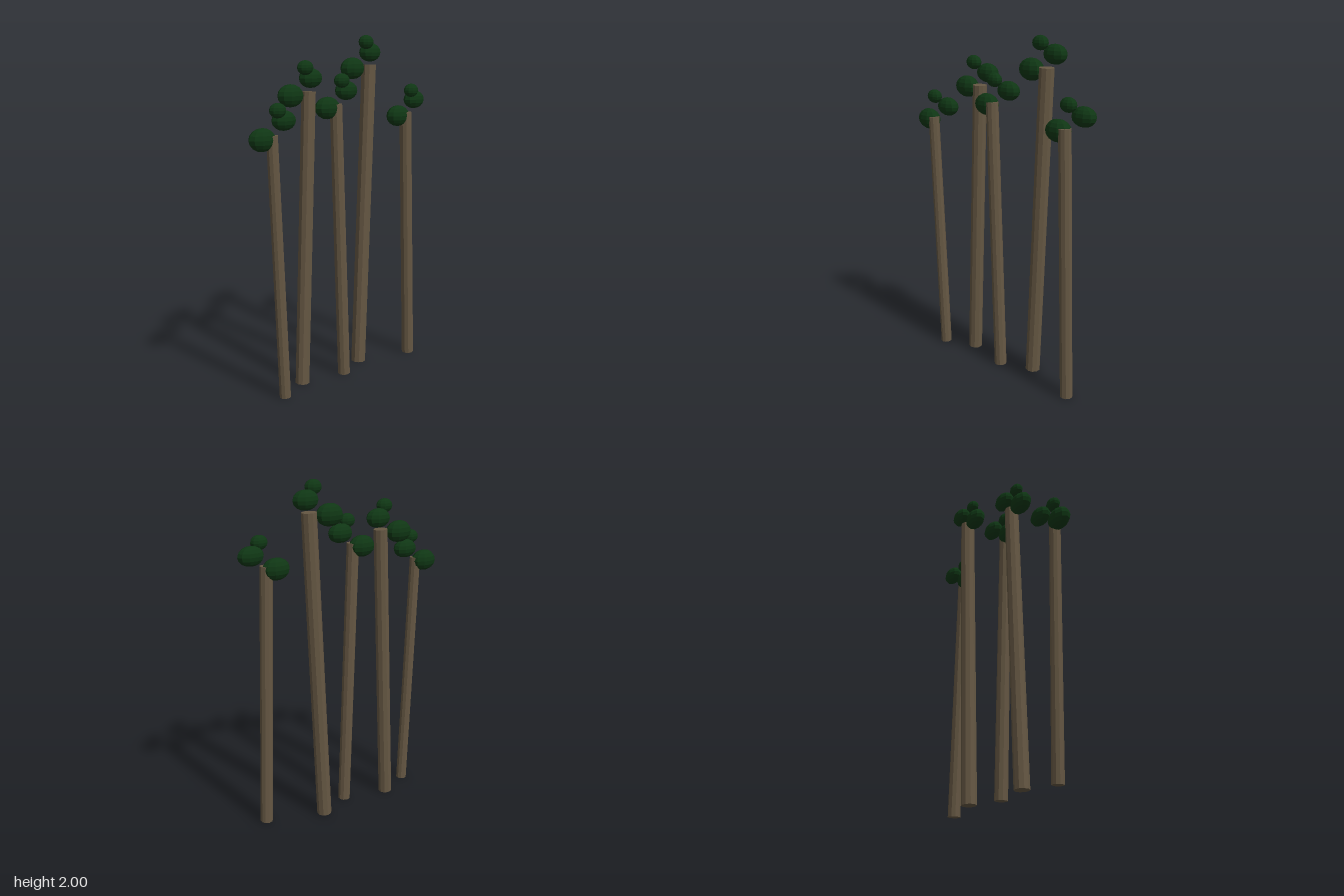
import * as THREE from 'three';

const bark = new THREE.MeshStandardMaterial({ color: 0x655743 });
bark.name = 'bark brown';
bark.flatShading = true;
const leaf = new THREE.MeshStandardMaterial({ color: 0x0f3614 });
leaf.name = 'leaf green';
leaf.flatShading = true;

// Trees: x, z, trunk height, trunk radius, lean about z
const TREES = [
  [-0.483, 0.066, 1.478, 0.033, 0.039],
  [-0.237, -0.018, 1.69, 0.042, -0.038],
  [-0.026, 0.037, 1.618, 0.037, 0.038],
  [0.229, -0.047, 1.828, 0.044, -0.038],
  [0.503, 0.053, 1.548, 0.037, 0.039],
];

// Leaf clumps: name, offset from the unleaned trunk top, half sizes
const CLUMPS = [
  ['largeClump', [-0.082, -0.02, -0.012], [0.081, 0.062, 0.05]],
  ['mediumClump', [0.068, 0.07, -0.028], [0.075, 0.054, 0.045]],
  ['smallClump', [0, 0.128, 0.014], [0.05, 0.04, 0.034]],
];

function createTree([x, z, height, radius, lean]) {
  const tree = new THREE.Group();
  tree.name = 'tree';
  tree.position.set(x, 0, z);

  // Straight trunk leaning about its middle
  const trunk = new THREE.Mesh(new THREE.CylinderGeometry(radius * 0.97, radius, height, 10), bark);
  trunk.name = 'trunk';
  trunk.position.y = height / 2 + 0.001;
  trunk.rotation.z = lean;
  tree.add(trunk);

  // Three flattened clumps of leaves
  for (const [name, offset, size] of CLUMPS) {
    const clump = new THREE.Mesh(new THREE.SphereGeometry(1, 10, 8), leaf);
    clump.name = name;
    clump.position.set(offset[0], height + offset[1], offset[2]);
    clump.scale.set(...size);
    tree.add(clump);
  }
  return tree;
}

export function createModel() {
  const grove = new THREE.Group();
  grove.name = 'treeGrove';
  for (const spec of TREES) grove.add(createTree(spec));
  return grove;
}
